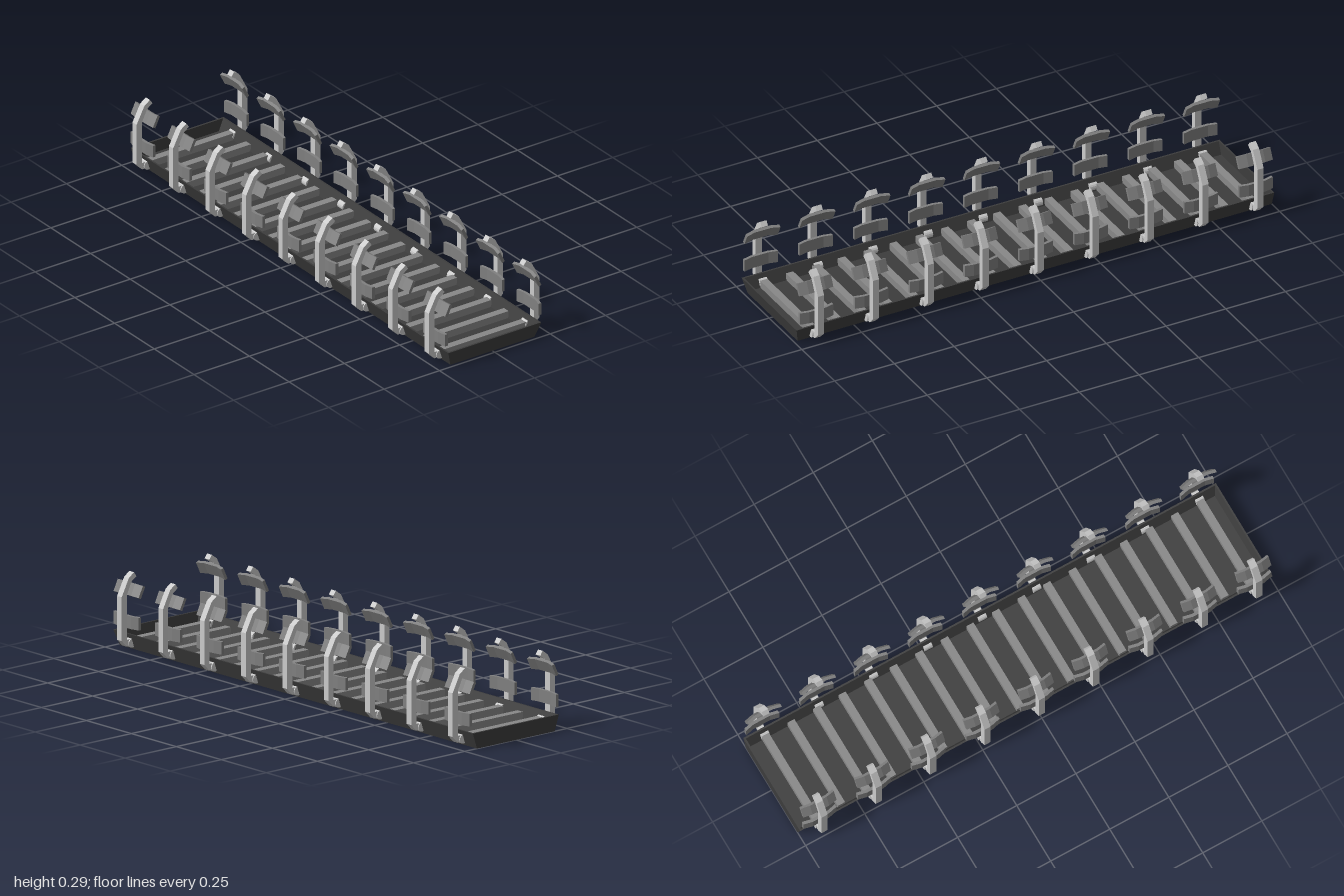
import * as THREE from 'three';

const mat = (color) => new THREE.MeshStandardMaterial({ color, flatShading: true });

// Extrude a closed outline by depth, centred on the extrusion axis
function slab(points, depth) {
  const shape = new THREE.Shape(points.map(([x, y]) => new THREE.Vector2(x, y)));
  const geo = new THREE.ExtrudeGeometry(shape, { depth, bevelEnabled: false });
  return geo.translate(0, 0, -depth / 2);
}

// Shallow tray lofted through rectangular rings: [half width, y, back z, front z]
function trayGeometry() {
  const rings = [
    [0.19, 0, -1, 0.985],
    [0.21, 0.06, -1, 1],
    [0.203, 0.06, -0.993, 0.993],
    [0.183, 0.012, -0.993, 0.98],
  ];
  const pos = [], idx = [];
  for (const [w, y, b, f] of rings) pos.push(-w, y, f, w, y, f, w, y, b, -w, y, b);
  for (let r = 0; r < rings.length - 1; r++) {
    for (let i = 0; i < 4; i++) {
      const a = r * 4 + i, b = r * 4 + (i + 1) % 4;
      idx.push(a, b, b + 4, a, b + 4, a + 4);
    }
  }
  idx.push(0, 2, 1, 0, 3, 2, 12, 13, 14, 12, 14, 15); // underside and floor
  const geo = new THREE.BufferGeometry();
  geo.setAttribute('position', new THREE.Float32BufferAttribute(pos, 3));
  geo.setIndex(idx);
  const flat = geo.toNonIndexed();
  flat.computeVertexNormals();
  return flat;
}

export function createModel() {
  const model = new THREE.Group();
  const darkMat = mat(0x3c3c3c), barMat = mat(0x888888), padMat = mat(0x808080), armMat = mat(0xcccccc);

  const add = (parent, name, geo, material, x = 0, y = 0, z = 0) => {
    const mesh = new THREE.Mesh(geo, material);
    mesh.name = name;
    mesh.position.set(x, y, z);
    parent.add(mesh);
    return mesh;
  };

  add(model, 'tray', trayGeometry(), darkMat);

  // Cross bars on the tray floor
  const barGeo = new THREE.BoxGeometry(0.374, 0.03, 0.03);
  for (let i = 0; i < 18; i++) add(model, 'crossBar', barGeo, barMat, 0, 0.025, -0.92 + i * 1.84 / 17);

  // Bent arm outline
  const armGeo = slab([
    [0.205, 0.015], [0.225, 0.015], [0.25, 0.041], [0.25, 0.207], [0.215, 0.274], [0.19, 0.292],
    [0.178, 0.275], [0.2, 0.26], [0.225, 0.207], [0.225, 0.041], [0.205, 0.041],
  ], 0.026);
  const pivotGeo = new THREE.CylinderGeometry(0.018, 0.018, 0.034, 16).rotateX(Math.PI / 2);

  // Pad whose ends bend inward, extruded along its height
  const padGeo = slab([
    [0, -0.035], [0, 0.035], [-0.008, 0.07], [-0.02, 0.07], [-0.012, 0.035],
    [-0.012, -0.035], [-0.02, -0.07], [-0.008, -0.07],
  ], 0.048).rotateX(-Math.PI / 2);

  // Nine pairs of arms, each with two pads; the far side is turned half round
  for (const side of [1, -1]) {
    for (let i = 0; i < 9; i++) {
      const arm = new THREE.Group();
      arm.name = side > 0 ? 'leftArm' : 'rightArm';
      arm.position.z = -0.92 + i * 0.23;
      arm.rotation.y = side > 0 ? 0 : Math.PI;
      add(arm, 'armBar', armGeo, armMat);
      add(arm, 'pivot', pivotGeo, armMat, 0.2, 0.026);
      add(arm, 'lowerPad', padGeo, padMat, 0.225, 0.11);
      add(arm, 'upperPad', padGeo, padMat, 0.214, 0.234).rotation.z = 0.45;
      model.add(arm);
    }
  }
  return model;
}
